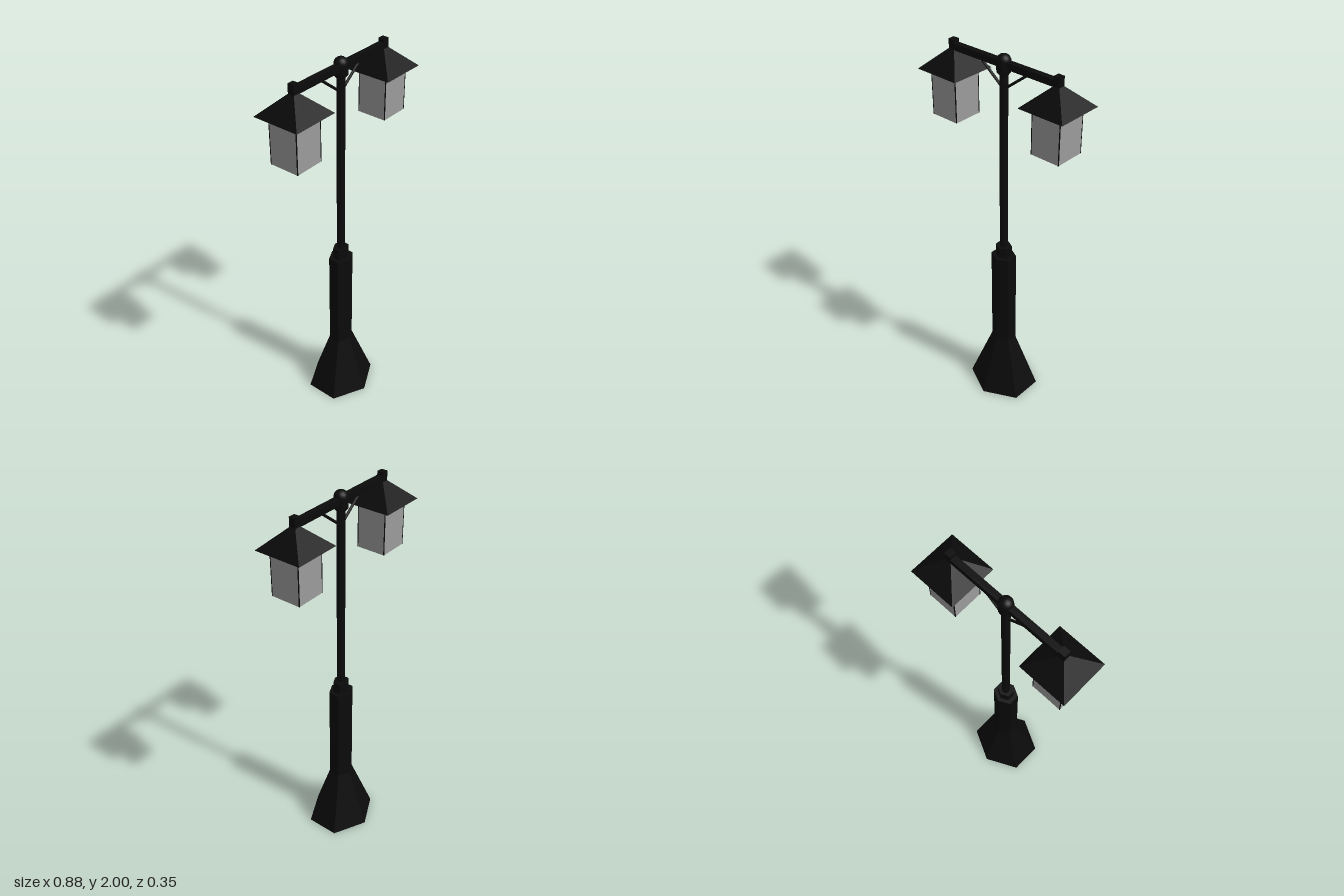
import * as THREE from 'three';

export function createModel() {
  const iron = new THREE.MeshStandardMaterial({ color: 0x0b0b0b });
  iron.name = 'black iron';
  const glass = new THREE.MeshStandardMaterial({ color: 0x9c9c9c });
  glass.name = 'grey glass';
  const model = new THREE.Group();
  model.name = 'streetLamp';

  const add = (parent, name, geometry, material, x = 0, y = 0, z = 0) => {
    const mesh = new THREE.Mesh(geometry, material);
    mesh.name = name;
    mesh.position.set(x, y, z);
    parent.add(mesh);
    return mesh;
  };
  // Flat-sided prism between two heights, as wide across x as it is along z
  const hexPrism = (name, bottom, top, y0, y1) => {
    const g = new THREE.CylinderGeometry(top, bottom, y1 - y0, 6).toNonIndexed();
    g.scale(1 / Math.cos(Math.PI / 6), 1, 1);
    g.computeVertexNormals();
    return add(model, name, g, iron, 0, (y0 + y1) / 2);
  };

  // Post
  hexPrism('base', 0.174, 0.06, 0, 0.33);
  hexPrism('column', 0.06, 0.06, 0.33, 0.89);
  hexPrism('collar', 0.039, 0.039, 0.89, 0.95);
  add(model, 'pole', new THREE.CylinderGeometry(0.021, 0.021, 0.97, 12), iron, 0, 1.435);

  // Domed cap on the pole
  const profile = [[0, 1.9], [0.022, 1.9], [0.034, 1.915], [0.034, 1.967]];
  for (let i = 1; i <= 6; i++) {
    const a = (i / 6) * Math.PI / 2;
    profile.push([0.034 * Math.cos(a), 1.967 + 0.033 * Math.sin(a)]);
  }
  add(model, 'cap', new THREE.LatheGeometry(profile.map(p => new THREE.Vector2(...p)), 16), iron);

  // Crossarm
  add(model, 'crossarm', new THREE.BoxGeometry(0.62, 0.033, 0.032), iron, 0, 1.953);

  for (const [side, s] of [['left', 1], ['right', -1]]) {
    // Diagonal brace under the arm
    const path = new THREE.LineCurve3(
      new THREE.Vector3(s * 0.005, 1.832, 0), new THREE.Vector3(s * 0.15, 1.945, 0));
    add(model, side + 'Brace', new THREE.TubeGeometry(path, 1, 0.007, 6), iron);

    // Hanging lantern
    const lantern = new THREE.Group();
    lantern.name = side + 'Lantern';
    lantern.position.x = s * 0.315;
    model.add(lantern);
    add(lantern, 'hanger', new THREE.BoxGeometry(0.034, 0.075, 0.034), iron, 0, 1.95);

    const roof = new THREE.CylinderGeometry(0.017 * Math.SQRT2, 0.124 * Math.SQRT2, 0.1, 4)
      .toNonIndexed();
    roof.rotateY(Math.PI / 4);
    roof.computeVertexNormals();
    add(lantern, 'roof', roof, iron, 0, 1.89);

    const bottom = s > 0 ? 1.612 : 1.602;
    const height = 1.841 - bottom;
    add(lantern, 'glass', new THREE.BoxGeometry(0.158, height, 0.158), glass, 0, bottom + height / 2);

    // Thin corner bars
    for (const x of [-1, 1]) for (const z of [-1, 1]) {
      add(lantern, 'cornerBar', new THREE.BoxGeometry(0.004, height, 0.004), iron,
        x * 0.078, bottom + height / 2, z * 0.078);
    }
  }
  return model;
}
